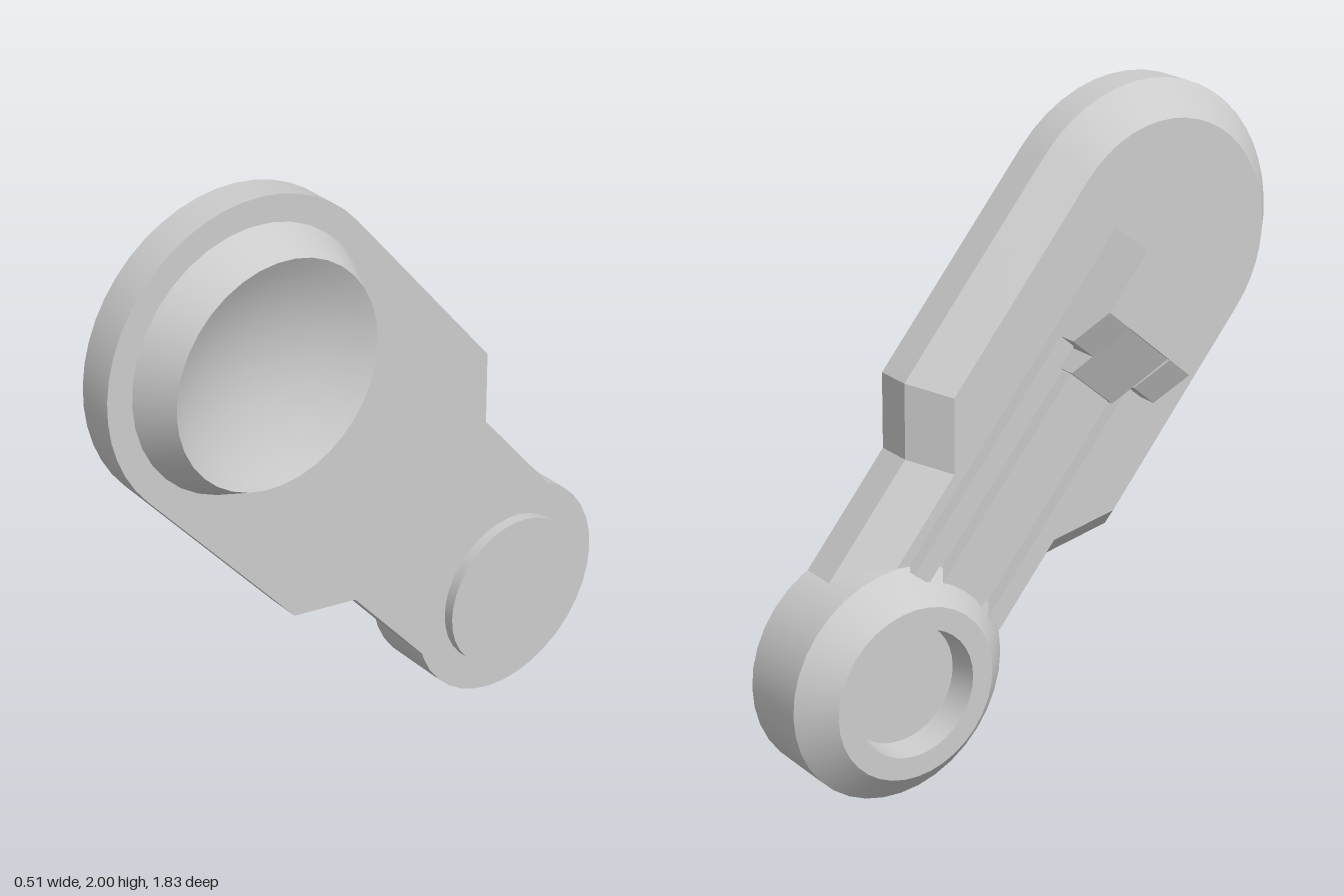
import * as THREE from 'three';
import { toCreasedNormals } from 'three/addons/utils/BufferGeometryUtils.js';

// Working frame: Y runs along the arm from the small hub to the large one,
// Z is the thickness (towards the dish), X is across the arm.
const LENGTH = 1.514;
const material = new THREE.MeshStandardMaterial({ color: 0xcccccc });

function part(name, geometry) {
  const mesh = new THREE.Mesh(geometry, material);
  mesh.name = name;
  return mesh;
}

// Solid of revolution about Z from [radius, z] points
function turned(name, profile, segments = 36) {
  const points = profile.map(([r, z]) => new THREE.Vector2(r, z));
  const geometry = new THREE.LatheGeometry(points, segments).rotateX(Math.PI / 2);
  return part(name, toCreasedNormals(geometry, 0.5));
}

// [y, z] profile extruded across the arm from x0 to x1
function across(name, profile, x0, x1) {
  const shape = new THREE.Shape(profile.map(([y, z]) => new THREE.Vector2(y, z)));
  const geometry = new THREE.ExtrudeGeometry(shape, { depth: x1 - x0, bevelEnabled: false });
  geometry.translate(0, 0, x0);
  geometry.applyMatrix4(new THREE.Matrix4().makeBasis(
    new THREE.Vector3(0, 1, 0), new THREE.Vector3(0, 0, 1), new THREE.Vector3(1, 0, 0)));
  return part(name, geometry);
}

// Plate outline moved inwards by d, counter-clockwise
function outline(d) {
  const arm = 0.335 - d, wide = 0.485 - d, lift = 0.368 * d;
  const points = [[-arm, 0.14], [arm, 0.14], [arm, 0.56 + lift], [wide, 0.74 + lift]];
  const steps = 24;
  for (let i = 0; i <= steps; i++) {
    const a = Math.PI * i / steps;
    points.push([wide * Math.cos(a), LENGTH + wide * Math.sin(a)]);
  }
  points.push([-wide, 0.74 + lift], [-arm, 0.56 + lift]);
  return points;
}

// Plate with a wide chamfer on its rear face
function plate() {
  const rings = [[0.1, -0.09], [0, 0.015], [0, 0.13]];
  const positions = [], index = [];
  const n = outline(0).length;
  rings.forEach(([d, z]) => outline(d).forEach(([x, y]) => positions.push(x, y, z)));
  for (let j = 0; j < rings.length - 1; j++) {
    for (let i = 0; i < n; i++) {
      const a = j * n + i, b = j * n + (i + 1) % n;
      index.push(a, b, b + n, a, b + n, a + n);
    }
  }
  // Flat caps
  const caps = (d) => THREE.ShapeUtils.triangulateShape(
    outline(d).map(([x, y]) => new THREE.Vector2(x, y)), []);
  const top = (rings.length - 1) * n;
  caps(0.1).forEach(([a, b, c]) => index.push(a, c, b));
  caps(0).forEach(([a, b, c]) => index.push(top + a, top + b, top + c));
  const geometry = new THREE.BufferGeometry();
  geometry.setAttribute('position', new THREE.Float32BufferAttribute(positions, 3));
  geometry.setIndex(index);
  return part('armPlate', toCreasedNormals(geometry, 0.4));
}

export function createModel() {
  const arm = new THREE.Group();
  arm.name = 'arm';
  arm.add(plate());

  // Small hub: recessed on the rear, raised disc on the dish side
  arm.add(turned('smallHub', [
    [0, -0.095], [0.19, -0.095], [0.2, -0.185], [0.27, -0.185], [0.365, -0.095],
    [0.365, 0.13], [0.257, 0.13], [0.257, 0.165], [0, 0.165],
  ]));

  // Large hub: tapered rim around a shallow bowl
  const bowl = [[0.405, 0.13], [0.345, 0.25]];
  for (let i = 1; i <= 8; i++) {
    const t = 1 - i / 8;
    bowl.push([0.345 * t, 0.15 + 0.1 * t * t]);
  }
  const dish = turned('dish', bowl);
  dish.position.y = LENGTH;
  arm.add(dish);

  // Rear bracket: block with a sunken ramp between two sloping prongs
  arm.add(across('bracketBlock',
    [[1.46, -0.08], [1.22, -0.08], [1.22, -0.26], [1.43, -0.26]], -0.2, 0.2));
  arm.add(across('bracketRamp',
    [[1.22, -0.08], [1.03, -0.08], [1.03, -0.145], [1.22, -0.25]], -0.1, 0.1));
  for (const side of [-1, 1]) {
    const [x0, x1] = side < 0 ? [-0.2, -0.1] : [0.1, 0.2];
    arm.add(across('bracketProng',
      [[1.22, -0.08], [1.1, -0.08], [1.1, -0.19], [1.22, -0.26]], x0, x1));
    // Side rail running from the prong to the small hub
    const [r0, r1] = side < 0 ? [-0.2, -0.135] : [0.135, 0.2];
    arm.add(across('sideRail',
      [[1.1, -0.08], [0.29, -0.08], [0.29, -0.13], [1.1, -0.13]], r0, r1));
  }
  arm.add(across('centreBar',
    [[1.05, -0.08], [0.28, -0.08], [0.28, -0.13], [1.05, -0.13]], -0.09, 0.09));

  // Tilt the arm: large hub up and forward
  const along = new THREE.Vector3(0, 0.761, 0.649).normalize();
  const thick = new THREE.Vector3(1, 0, 0);
  const cross = new THREE.Vector3().crossVectors(along, thick);
  arm.quaternion.setFromRotationMatrix(new THREE.Matrix4().makeBasis(cross, along, thick));
  arm.position.set(0, 0.365, -0.55);

  const model = new THREE.Group();
  model.name = 'linkArm';
  model.add(arm);
  return model;
}
